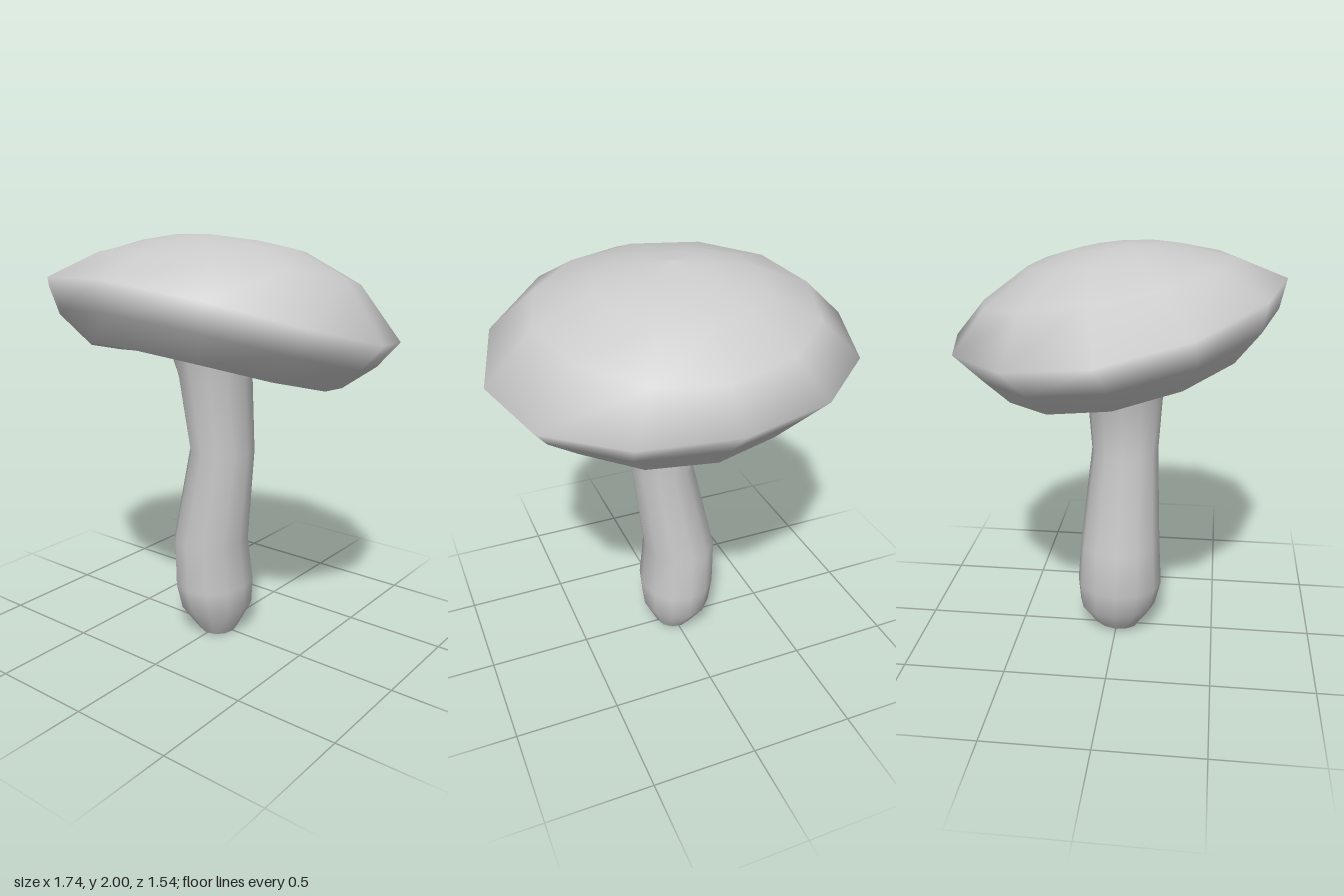
import * as THREE from 'three';

const SIDES = 12;

// A ring is [xLeft, xRight, zBack, zFront, yLeft, yRight, yBack, yFront];
// it becomes an ellipse whose height follows the four given heights.
function ringPoint([x0, x1, z0, z1, yL, yR, yB, yF], angle) {
  const c = Math.cos(angle), s = Math.sin(angle);
  const saddle = (yF + yB - yR - yL) / 4;
  const y = (yF + yB + yR + yL) / 4 + s * (yF - yB) / 2 + c * (yR - yL) / 2 + saddle * (s * s - c * c);
  return [(x0 + x1) / 2 + c * (x1 - x0) / 2, y, (z0 + z1) / 2 + s * (z1 - z0) / 2];
}

// Smooth skin through rings ordered from bottom to top
function loft(rings) {
  const positions = [], index = [];
  for (const ring of rings) {
    for (let i = 0; i < SIDES; i++) positions.push(...ringPoint(ring, (i / SIDES) * Math.PI * 2));
  }
  for (let r = 0; r < rings.length - 1; r++) {
    for (let i = 0; i < SIDES; i++) {
      const a = r * SIDES + i, b = r * SIDES + (i + 1) % SIDES;
      index.push(a, a + SIDES, b, b, a + SIDES, b + SIDES);
    }
  }
  const geometry = new THREE.BufferGeometry();
  geometry.setAttribute('position', new THREE.Float32BufferAttribute(positions, 3));
  geometry.setIndex(index);
  geometry.computeVertexNormals();
  return geometry;
}

const level = (x0, x1, z0, z1, y) => [x0, x1, z0, z1, y, y, y, y];
const point = (x, y, z) => level(x, x, z, z, y);

export function createModel() {
  const group = new THREE.Group();
  const material = new THREE.MeshStandardMaterial({ color: 0xcccccc, side: THREE.DoubleSide });
  const add = (name, rings) => {
    const mesh = new THREE.Mesh(loft(rings), material);
    mesh.name = name;
    group.add(mesh);
  };

  // Shared edges between the parts
  const foot = [-0.10, 0.09, -0.11, 0.11, 0.02, 0.0, 0.02, 0.005];
  const collar = [-0.25, 0.24, -0.20, 0.26, 1.50, 1.50, 1.46, 1.56];
  const lip = [-0.61, 0.62, -0.53, 0.62, 1.40, 1.35, 1.30, 1.55];

  // Bent stem, swelling near the ground and flaring under the cap
  add('stem', [
    foot,
    level(-0.19, 0.16, -0.19, 0.20, 0.14),
    level(-0.212, 0.17, -0.20, 0.23, 0.27),
    level(-0.22, 0.145, -0.18, 0.22, 0.50),
    level(-0.11, 0.20, -0.13, 0.20, 0.98),
    level(-0.17, 0.18, -0.15, 0.225, 1.34),
    collar,
  ]);
  add('stemBase', [point(0, 0.01, 0), foot]);

  // Hollow underside between the lip and the stem
  add('capUnderside', [collar, lip].reverse().map((r) => r).reverse());

  // Tilted cap from the lip, over the pointed rim, to the crown
  add('cap', [
    lip,
    [-0.78, 0.79, -0.64, 0.74, 1.53, 1.465, 1.42, 1.71],
    [-0.87, 0.87, -0.77, 0.77, 1.65, 1.57, 1.55, 1.85],
    [-0.65, 0.65, -0.63, 0.54, 1.85, 1.83, 1.72, 1.935],
    [-0.40, 0.38, -0.41, 0.32, 1.95, 1.945, 1.885, 1.975],
    [-0.20, 0.17, -0.2, 0.2, 1.99, 1.98, 1.96, 1.995],
    point(-0.02, 2.0, 0.06),
  ]);
  return group;
}
